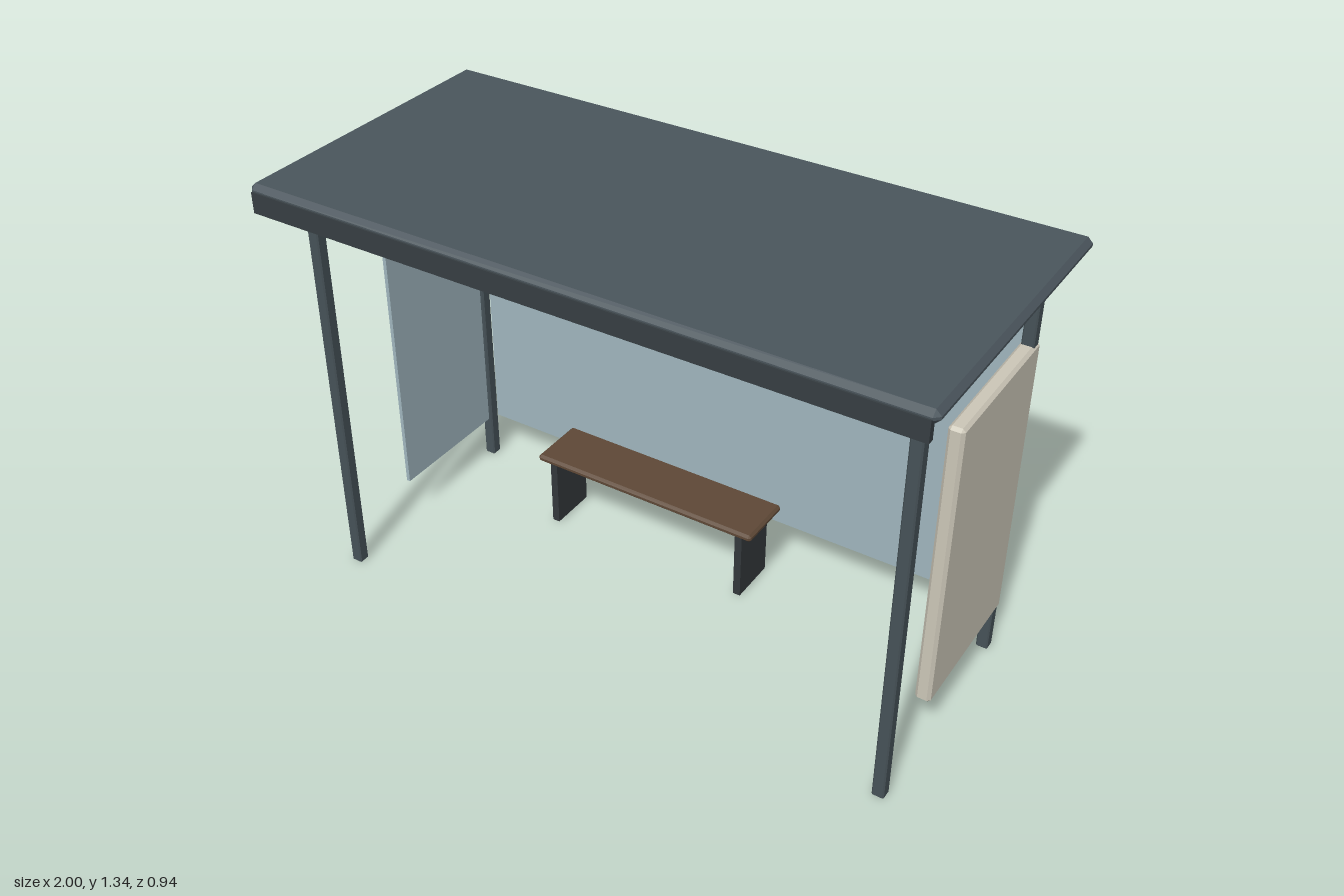
import * as THREE from 'three';
import { ConvexGeometry } from 'three/addons/geometries/ConvexGeometry.js';

const paint = (color) => new THREE.MeshStandardMaterial({ color });

// Box with every edge chamfered by b
function chamferBox(w, h, d, b) {
  const pts = [];
  for (const sx of [-1, 1]) for (const sy of [-1, 1]) for (const sz of [-1, 1]) {
    const x = w / 2, y = h / 2, z = d / 2;
    pts.push(
      new THREE.Vector3(sx * x, sy * (y - b), sz * (z - b)),
      new THREE.Vector3(sx * (x - b), sy * y, sz * (z - b)),
      new THREE.Vector3(sx * (x - b), sy * (y - b), sz * z));
  }
  return new ConvexGeometry(pts);
}

// Adds a block given its [min, max] range on each axis
function block(parent, name, material, [x0, x1], [y0, y1], [z0, z1], bevel = 0) {
  const size = [x1 - x0, y1 - y0, z1 - z0];
  const geometry = bevel ? chamferBox(...size, bevel) : new THREE.BoxGeometry(...size);
  const mesh = new THREE.Mesh(geometry, material);
  mesh.name = name;
  mesh.position.set((x0 + x1) / 2, (y0 + y1) / 2, (z0 + z1) / 2);
  parent.add(mesh);
}

const around = (centre, size) => [centre - size / 2, centre + size / 2];

export function createModel() {
  const shelter = new THREE.Group();
  shelter.name = 'busShelter';

  const steel = paint(0x465257);
  const roofPaint = paint(0x4a555c);
  const trim = paint(0x363e42);
  const glass = paint(0x9fb5bd);
  const cream = paint(0xcbc6b7);
  const wood = paint(0x5e4836);
  const dark = paint(0x33383b);

  // Flat roof slab with a front fascia
  block(shelter, 'roof', roofPaint, [-1, 1], [1.303, 1.341], [-0.47, 0.465], 0.015);
  block(shelter, 'fascia', trim, [-0.985, 0.985], [1.26, 1.322], [0.45, 0.47]);

  // Four corner posts
  for (const [side, x] of [['right', -0.908], ['left', 0.908]]) {
    for (const [end, z] of [['Front', 0.328], ['Back', -0.36]]) {
      block(shelter, `${side}${end}Post`, steel,
        around(x, 0.036), [0, 1.305], around(z, 0.036), 0.004);
    }
  }

  // Glass panes at the back and on the right end
  block(shelter, 'backGlass', glass, [-0.892, 0.892], [0.145, 1.265], [-0.391, -0.379]);
  block(shelter, 'sideGlass', glass, around(-0.908, 0.012), [0.145, 1.265], [-0.345, 0.075]);

  // Thick display panel on the left end
  block(shelter, 'displayPanel', cream, [0.884, 0.93], [0.148, 1.052], [-0.385, 0.1], 0.009);

  // Bench
  const bench = new THREE.Group();
  bench.name = 'bench';
  shelter.add(bench);
  block(bench, 'seat', wood, [-0.545, 0.23], [0.234, 0.258], [-0.33, -0.14], 0.008);
  for (const x of [-0.496, 0.181]) {
    block(bench, 'benchLeg', dark, around(x, 0.024), [0.004, 0.24], [-0.312, -0.156]);
  }
  return shelter;
}
